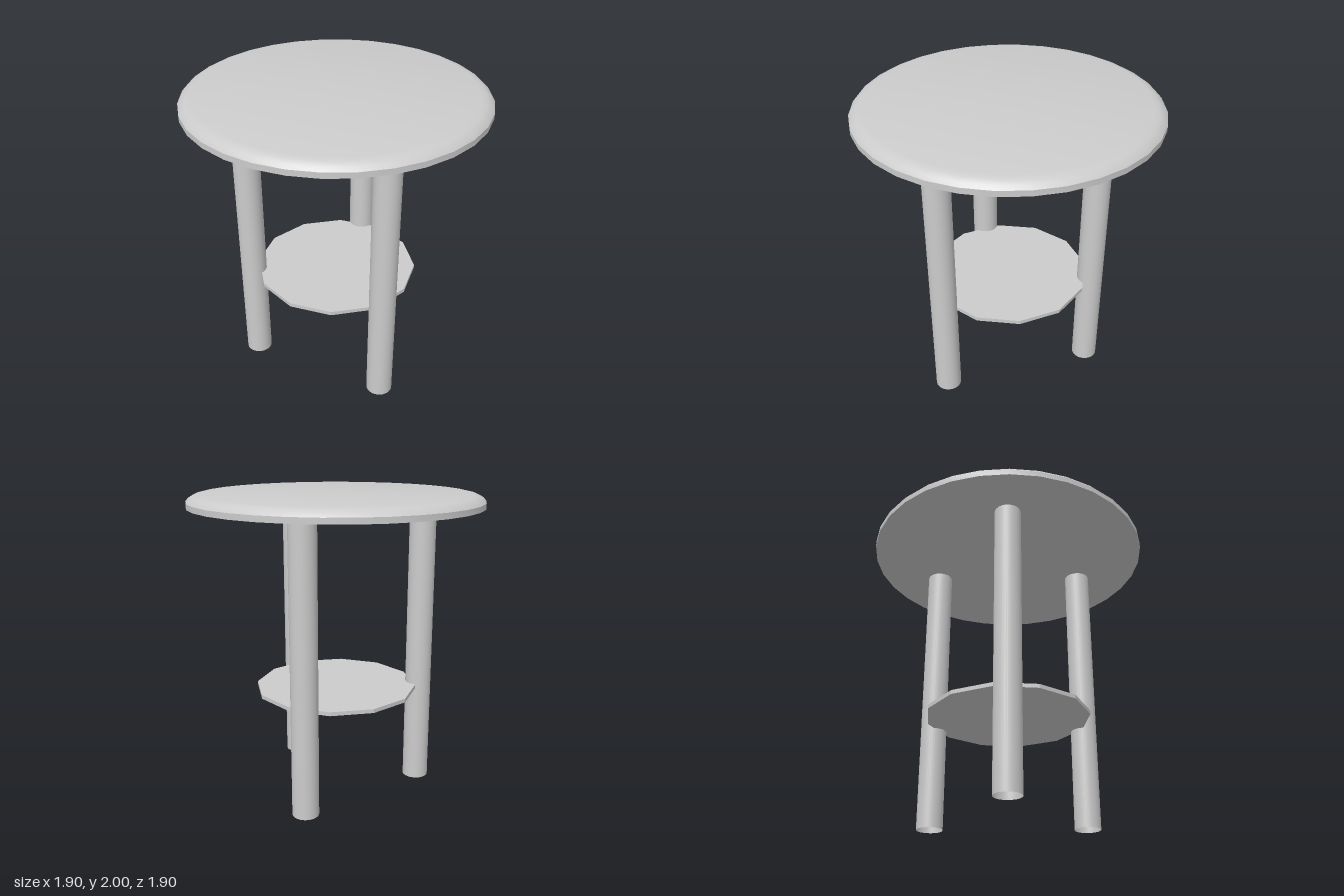
import * as THREE from 'three';
import { toCreasedNormals } from 'three/addons/utils/BufferGeometryUtils.js';

export function createModel() {
  const group = new THREE.Group();
  const material = new THREE.MeshStandardMaterial({ color: 0xcccccc });
  const openMaterial = new THREE.MeshStandardMaterial({ color: 0xcccccc, side: THREE.DoubleSide });

  const add = (name, geometry, mat, x = 0, y = 0, z = 0) => {
    const mesh = new THREE.Mesh(geometry, mat);
    mesh.name = name;
    mesh.position.set(x, y, z);
    group.add(mesh);
  };

  // Round top: flat underside, short upright rim, rounded upper edge
  const profile = [
    [0, 1.917], [0.953, 1.917], [0.953, 1.953], [0.935, 1.975],
    [0.905, 1.992], [0.87, 2], [0, 2],
  ].map(([r, y]) => new THREE.Vector2(r, y));
  const top = new THREE.LatheGeometry(profile, 32, THREE.MathUtils.degToRad(2.8));
  add('tableTop', toCreasedNormals(top, 0.45), material);

  // Three hollow tubular legs
  const legHeight = 1.917;
  const legGeometry = new THREE.CylinderGeometry(0.087, 0.087, legHeight, 32, 1, true);
  const legs = { frontLeg: [0.046, 0.573], backRightLeg: [-0.536, -0.2], backLeftLeg: [0.41, -0.395] };
  for (const [name, [x, z]] of Object.entries(legs)) {
    add(name, legGeometry, openMaterial, x, legHeight / 2, z);
  }

  // Thin twelve-sided shelf with faceted edge
  const shelf = new THREE.CylinderGeometry(0.543, 0.543, 0.026, 12);
  add('shelf', toCreasedNormals(shelf, 0.3), material, 0, 0.692, 0);

  return group;
}
